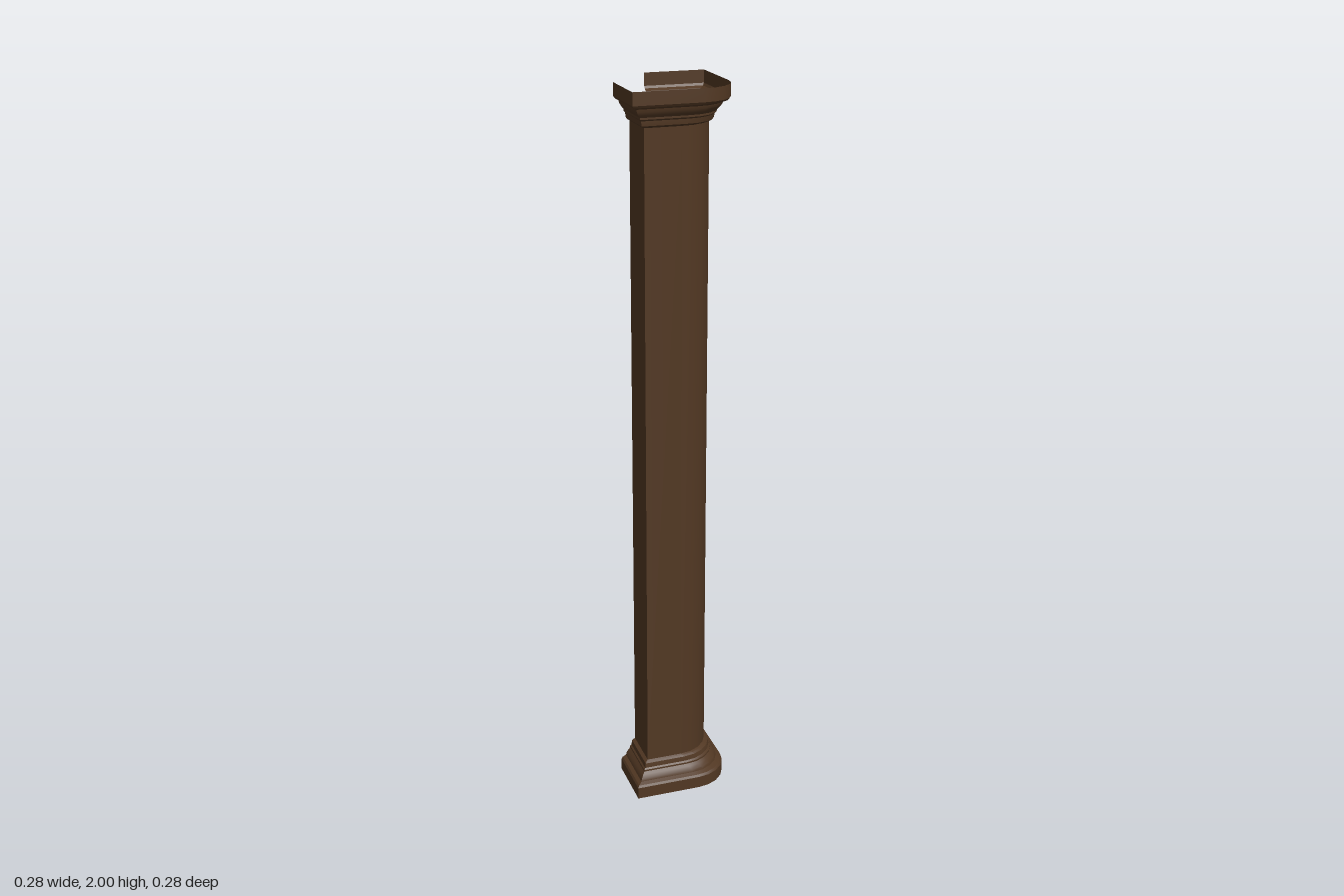
import * as THREE from 'three';
import { toCreasedNormals } from 'three/addons/utils/BufferGeometryUtils.js';

const R = 0.1; // half width of the shaft, also the radius of its rounded corner

// Plan outline: x, z, and the direction in which mouldings push each point outward
function makeOutline() {
  const points = [[-R, -0.022, -1, 0], [-R, R, -1, 1]];
  for (let i = 0; i <= 5; i++) {
    const a = (i / 5) * Math.PI / 2;
    points.push([R * Math.sin(a), R * Math.cos(a), 1, 1]);
  }
  points.push([R, -R, 1, -1], [-0.022, -R, 0, -1]);
  return points;
}

// Sweep a moulding profile of [projection, height], listed bottom to top, along the outline
function sweep(profile) {
  const outline = makeOutline();
  const n = outline.length;
  const position = [], index = [];
  for (const [d, y] of profile) {
    for (const [x, z, dx, dz] of outline) position.push(x + d * dx, y, z + d * dz);
  }
  for (let j = 0; j < profile.length - 1; j++) {
    for (let i = 0; i < n - 1; i++) {
      const a = j * n + i, b = a + 1, c = b + n, e = a + n;
      index.push(a, b, c, a, c, e);
    }
  }
  const geometry = new THREE.BufferGeometry();
  geometry.setAttribute('position', new THREE.Float32BufferAttribute(position, 3));
  geometry.setIndex(index);
  return toCreasedNormals(geometry, 0.45);
}

export function createModel() {
  const wood = new THREE.MeshStandardMaterial({ color: 0x523823, side: THREE.DoubleSide });
  const group = new THREE.Group();
  group.name = 'columnCladding';

  const add = (name, profile) => {
    const mesh = new THREE.Mesh(sweep(profile), wood);
    mesh.name = name;
    group.add(mesh);
  };

  // Stepped moulding, from the outer edge in to the shaft
  const moulding = [
    [0.042, 0], [0.042, 0.034], [0.038, 0.04], [0.028, 0.045], [0.026, 0.053],
    [0.02, 0.062], [0.015, 0.068], [0.015, 0.073], [0.011, 0.077],
    [0.009, 0.09], [0.005, 0.094], [0, 0.096],
  ];
  add('base', moulding);
  add('shaft', [[0, 0.096], [0, 1.904]]);
  add('capital', moulding.map(([d, y]) => [d, 2 - y]).reverse());
  return group;
}
